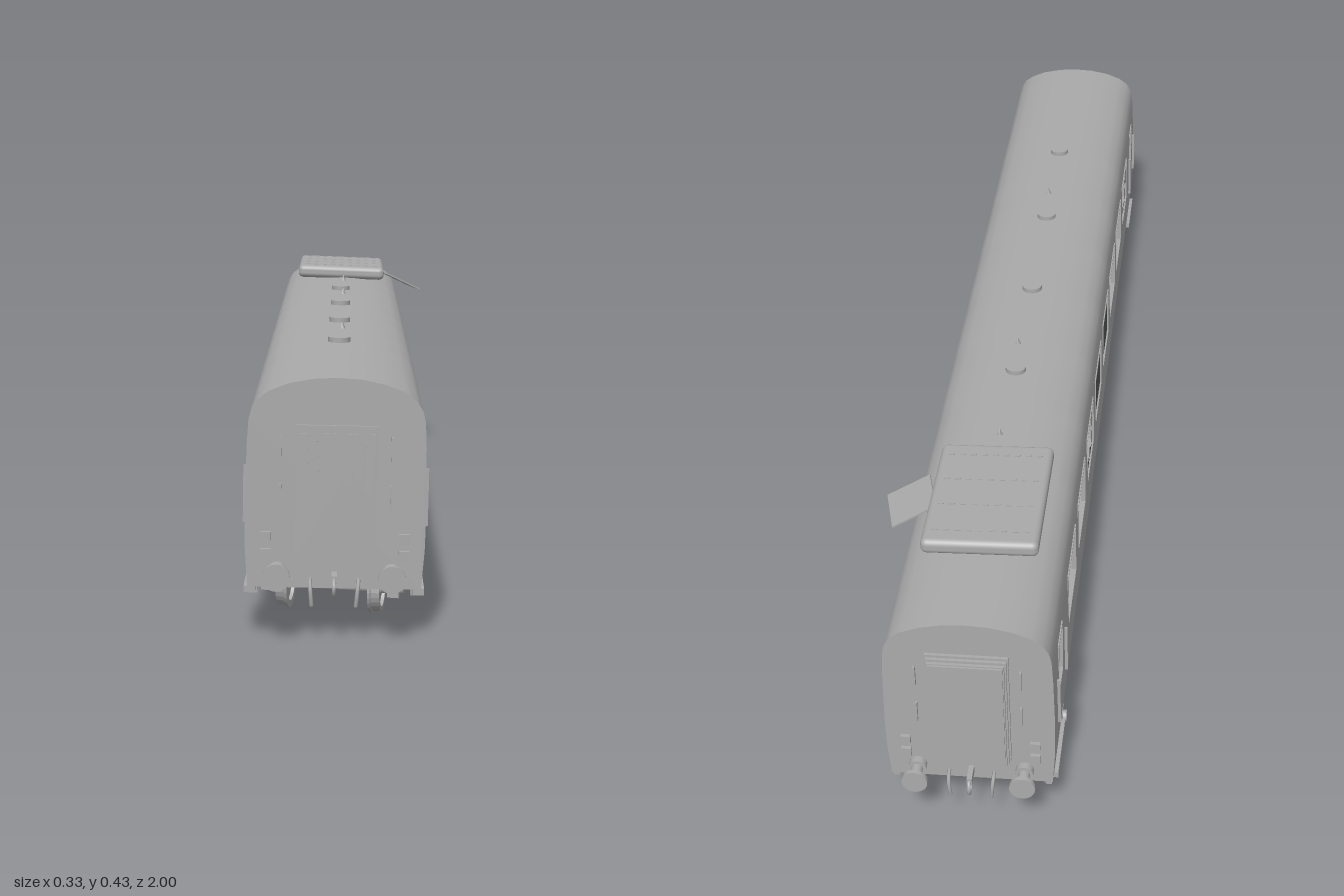
import * as THREE from 'three';
import { RoundedBoxGeometry } from 'three/addons/geometries/RoundedBoxGeometry.js';

const grey = new THREE.MeshStandardMaterial({ color: 0xaaaaaa });
grey.name = 'weathered grey';
const greySheet = new THREE.MeshStandardMaterial({ color: 0xaaaaaa, side: THREE.DoubleSide });
greySheet.name = 'weathered grey sheet';
const glass = new THREE.MeshStandardMaterial({ color: 0x565a56, side: THREE.DoubleSide });
glass.name = 'dirty glass';

let seed = 7;
const rand = () => (seed = (seed * 16807) % 2147483647) / 2147483647;

function add(parent, name, geo, x = 0, y = 0, z = 0, mat = grey) {
  const m = new THREE.Mesh(geo, mat);
  m.name = name;
  m.position.set(x, y, z);
  parent.add(m);
  return m;
}
const box = (p, name, w, h, d, x, y, z, mat) => add(p, name, new THREE.BoxGeometry(w, h, d), x, y, z, mat);
const cylX = (r, len, n = 24) => new THREE.CylinderGeometry(r, r, len, n).rotateZ(Math.PI / 2);
const cylZ = (r, len, n = 24) => new THREE.CylinderGeometry(r, r, len, n).rotateX(Math.PI / 2);

// Body cross-section, from the sill up to the roof ridge
const half = [[0.126, 0.072], [0.13, 0.13], [0.131, 0.188], [0.129, 0.282], [0.127, 0.318], [0.123, 0.334],
  [0.114, 0.348], [0.098, 0.36], [0.07, 0.371], [0.035, 0.378], [0, 0.38]];
const profile = [...half, ...half.slice(0, -1).reverse().map(([x, y]) => [-x, y])];
const END = 0.955, SILL = 0.188, HEAD = 0.282;

// Side openings: centre and width along z
const windows = [0.65, 0.46, 0.277, 0.098, -0.088, -0.275, -0.46, -0.648];
const openings = [[0.85, 0.06], ...windows.map(z => [z, 0.138]), [-0.85, 0.06]];
const states = { 1: 'ebdebdeb', '-1': 'beeddbee' }; // e empty, b broken, d dark pane

// Lofted sides and roof, leaving out the window cells
function shellGeometry() {
  const zs = [END];
  openings.forEach(([z, w]) => zs.push(z + w / 2, z - w / 2));
  zs.push(-END);
  const pos = [], idx = [], n = profile.length;
  zs.forEach(z => profile.forEach(([x, y]) => pos.push(x, y, z)));
  for (let i = 0; i < zs.length - 1; i++) {
    for (let j = 0; j < n - 1; j++) {
      if (i % 2 === 1 && (j === 2 || j === n - 4)) continue;
      const a = i * n + j, b = a + n;
      idx.push(a, b, a + 1, a + 1, b, b + 1);
    }
  }
  const g = new THREE.BufferGeometry();
  g.setAttribute('position', new THREE.Float32BufferAttribute(pos, 3));
  g.setIndex(idx);
  g.computeVertexNormals();
  return g;
}

function endShape(s = 1) {
  return new THREE.Shape(profile.map(([x, y]) => new THREE.Vector2(x * s, 0.22 + (y - 0.22) * s)));
}

// Pane with a jagged hole
function brokenPane(w, h) {
  const s = new THREE.Shape([[-1, -1], [1, -1], [1, 1], [-1, 1]].map(([a, b]) => new THREE.Vector2(a * w / 2, b * h / 2)));
  const pts = [];
  for (let i = 0; i < 20; i++) {
    const a = -i / 20 * Math.PI * 2, r = i % 2 ? 0.92 : 0.5 + rand() * 0.3;
    const k = r / Math.max(Math.abs(Math.cos(a)), Math.abs(Math.sin(a)));
    pts.push(new THREE.Vector2(Math.cos(a) * k * w / 2, Math.sin(a) * k * h / 2));
  }
  s.holes.push(new THREE.Path(pts));
  return new THREE.ShapeGeometry(s);
}

function buildSides(car) {
  const h = HEAD - SILL, y = (HEAD + SILL) / 2;
  for (const s of [1, -1]) {
    openings.forEach(([z, w], i) => {
      // Reveals around each opening
      for (const t of [1, -1]) {
        box(car, 'windowFrame', 0.008, 0.003, w, s * 0.127, y + t * h / 2, z);
        box(car, 'windowFrame', 0.008, h, 0.003, s * 0.127, y, z + t * w / 2);
      }
      const state = states[s][i - 1];
      if (state === 'd') add(car, 'pane', new THREE.PlaneGeometry(w, h), s * 0.128, y, z, glass).rotation.y = s * Math.PI / 2;
      if (state === 'b') add(car, 'brokenPane', brokenPane(w, h), s * 0.128, y, z, glass).rotation.y = s * Math.PI / 2;
    });
    // Door rails and steps
    for (const e of [1, -1]) {
      for (const z of [0.79, 0.91]) box(car, 'doorRail', 0.005, 0.085, 0.004, s * 0.133, 0.2, e * z);
      box(car, 'doorStep', 0.02, 0.01, 0.12, s * 0.122, 0.062, e * 0.87);
    }
    box(car, 'soleBar', 0.01, 0.014, 1.9, s * 0.119, 0.069, 0);
  }
}

function buildEnd(car, e) {
  const g = new THREE.Group();
  g.name = e > 0 ? 'frontEnd' : 'rearEnd';
  if (e < 0) g.rotation.y = Math.PI;
  car.add(g);
  add(g, 'endWall', new THREE.ExtrudeGeometry(endShape(), { depth: 0.006, bevelEnabled: false }), 0, 0, END - 0.006);
  // Gangway: flush and torn in front, a projecting bellows behind
  if (e > 0) {
    box(g, 'gangwayDoor', 0.118, 0.197, 0.005, 0, 0.213, END + 0.002);
    for (let i = 0; i < 7; i++) {
      const len = 0.05 + rand() * 0.06;
      box(g, 'tornStrip', 0.013, len, 0.002, -0.048 + i * 0.016, 0.3 - len / 2, END + 0.006).rotation.z = (rand() - 0.5) * 0.12;
    }
  } else {
    for (let i = 0; i < 3; i++) box(g, 'bellows', 0.126 - i * 0.005, 0.21 - i * 0.005, 0.005, 0, 0.218, END + 0.0025 + i * 0.007);
    box(g, 'bellowsCore', 0.112, 0.196, 0.022, 0, 0.218, END + 0.011);
  }
  for (const s of [1, -1]) {
    add(g, 'bufferStem', cylZ(0.009, 0.04, 16), s * 0.083, 0.096, END + 0.018);
    add(g, 'bufferBase', cylZ(0.014, 0.012, 16), s * 0.083, 0.096, END + 0.006);
    add(g, 'bufferHead', cylZ(0.02, 0.007), s * 0.083, 0.096, END + 0.0395);
    for (const y of [0.122, 0.147]) box(g, 'lamp', 0.015, 0.015, 0.006, s * 0.1, y, END + 0.003);
    for (const y of [0.207, 0.278]) box(g, 'handRail', 0.003, 0.036, 0.006, s * 0.08, y, END + 0.003);
    add(g, 'brakeHose', new THREE.TubeGeometry(new THREE.QuadraticBezierCurve3(
      new THREE.Vector3(s * 0.035, 0.085, END), new THREE.Vector3(s * 0.035, 0.085, END + 0.025),
      new THREE.Vector3(s * 0.032, 0.05, END + 0.018)), 8, 0.003, 6));
  }
  // Coupling
  box(g, 'couplerBar', 0.008, 0.014, 0.03, 0, 0.09, END + 0.015);
  add(g, 'couplerLink', new THREE.TorusGeometry(0.012, 0.003, 6, 14).rotateY(Math.PI / 2), 0, 0.08, END + 0.026);
}

function buildRoof(car) {
  for (const z of [-0.275, 0, 0.275, 0.55]) {
    add(car, 'roofVent', new THREE.CylinderGeometry(0.018, 0.018, 0.008, 20), 0, 0.384, z);
  }
  for (const z of [0.37, -0.19, -0.47]) {
    add(car, 'roofFin', new THREE.ConeGeometry(0.006, 0.014, 4), 0.005, 0.385, z);
  }
  // Loose equipment cover with rivet rows and a bent flap
  const cover = new THREE.Group();
  cover.name = 'roofCover';
  cover.position.set(0, 0.39, -0.66);
  cover.rotation.z = -0.02;
  car.add(cover);
  add(cover, 'coverPanel', new RoundedBoxGeometry(0.184, 0.026, 0.262, 3, 0.01));
  for (let i = 0; i < 4; i++) {
    for (let k = 0; k < 9; k++) box(cover, 'coverSlot', 0.009, 0.002, 0.003, -0.072 + k * 0.018, 0.0135, -0.1 + i * 0.066);
  }
  const flap = box(car, 'bentFlap', 0.078, 0.003, 0.085, 0.128, 0.366, -0.645);
  flap.rotation.set(0, 0.25, -0.43);
}

function buildBogie(car, z, x, yaw) {
  const g = new THREE.Group();
  g.name = 'bogie';
  g.position.set(x, 0, z);
  g.rotation.y = yaw;
  car.add(g);
  const tread = [[0, -0.004], [0.01, -0.008], [0.012, -0.004], [0.027, -0.004], [0.028, -0.009], [0.035, -0.009],
    [0.036, 0.004], [0.039, 0.005], [0.039, 0.009], [0.028, 0.009], [0.027, 0.004], [0, 0.004]];
  const wheel = new THREE.LatheGeometry(tread.map(p => new THREE.Vector2(...p)), 28).toNonIndexed();
  wheel.computeVertexNormals();
  for (const az of [0.116, -0.116]) {
    add(g, 'axle', cylX(0.008, 0.2, 12), 0, 0.035, az);
    for (const s of [1, -1]) {
      add(g, 'wheel', wheel, s * 0.071, 0.035, az).rotation.z = s * Math.PI / 2;
      box(g, 'axleBox', 0.018, 0.026, 0.03, s * 0.098, 0.037, az);
      add(g, 'axleCap', cylX(0.01, 0.01, 14), s * 0.108, 0.037, az);
      for (const t of [1, -1]) add(g, 'spring', new THREE.CylinderGeometry(0.007, 0.007, 0.026, 10), s * 0.098, 0.056, az + t * 0.024);
    }
    box(g, 'brakeBeam', 0.13, 0.008, 0.008, 0, 0.035, az * 0.6);
  }
  for (const s of [1, -1]) {
    box(g, 'sideFrame', 0.014, 0.014, 0.3, s * 0.098, 0.063, 0);
    box(g, 'sideFrameDrop', 0.014, 0.016, 0.11, s * 0.098, 0.049, 0);
    box(g, 'endBeam', 0.19, 0.01, 0.01, 0, 0.062, s * 0.148);
  }
  box(g, 'bolster', 0.19, 0.022, 0.05, 0, 0.056, 0);
}

export function createModel() {
  const root = new THREE.Group();
  root.name = 'railwayCarriage';
  // The derailed car leans, dips at the front and sits askew
  const car = new THREE.Group();
  car.name = 'carriage';
  car.position.set(-0.003, 0.018, 0);
  car.rotation.set(0.0135, 0.029, -0.02);
  root.add(car);

  add(car, 'bodyShell', shellGeometry(), 0, 0, 0, greySheet);
  box(car, 'floor', 0.25, 0.01, 1.9, 0, 0.077, 0);
  for (const z of [0.76, -0.76]) add(car, 'bulkhead', new THREE.ShapeGeometry(endShape(0.98)), 0, 0, z, greySheet);
  buildSides(car);
  buildEnd(car, 1);
  buildEnd(car, -1);
  buildRoof(car);
  buildBogie(car, 0.675, 0.015, -0.17);
  buildBogie(car, -0.66, -0.012, 0.05);

  // Underfloor equipment: width, height, length, x, y, z
  [[0.085, 0.026, 0.24, 0.07, 0.059, 0.16], [0.085, 0.024, 0.24, -0.07, 0.06, 0.3],
    [0.09, 0.018, 0.28, -0.065, 0.063, -0.06], [0.06, 0.02, 0.06, 0.08, 0.062, -0.23],
    [0.07, 0.014, 0.1, 0.075, 0.065, -0.42]].forEach(d => box(car, 'equipmentBox', ...d));
  add(car, 'airTank', cylZ(0.016, 0.18), -0.09, 0.056, -0.32);
  add(car, 'airTank', cylZ(0.012, 0.14), 0.015, 0.06, 0.13);
  return root;
}
